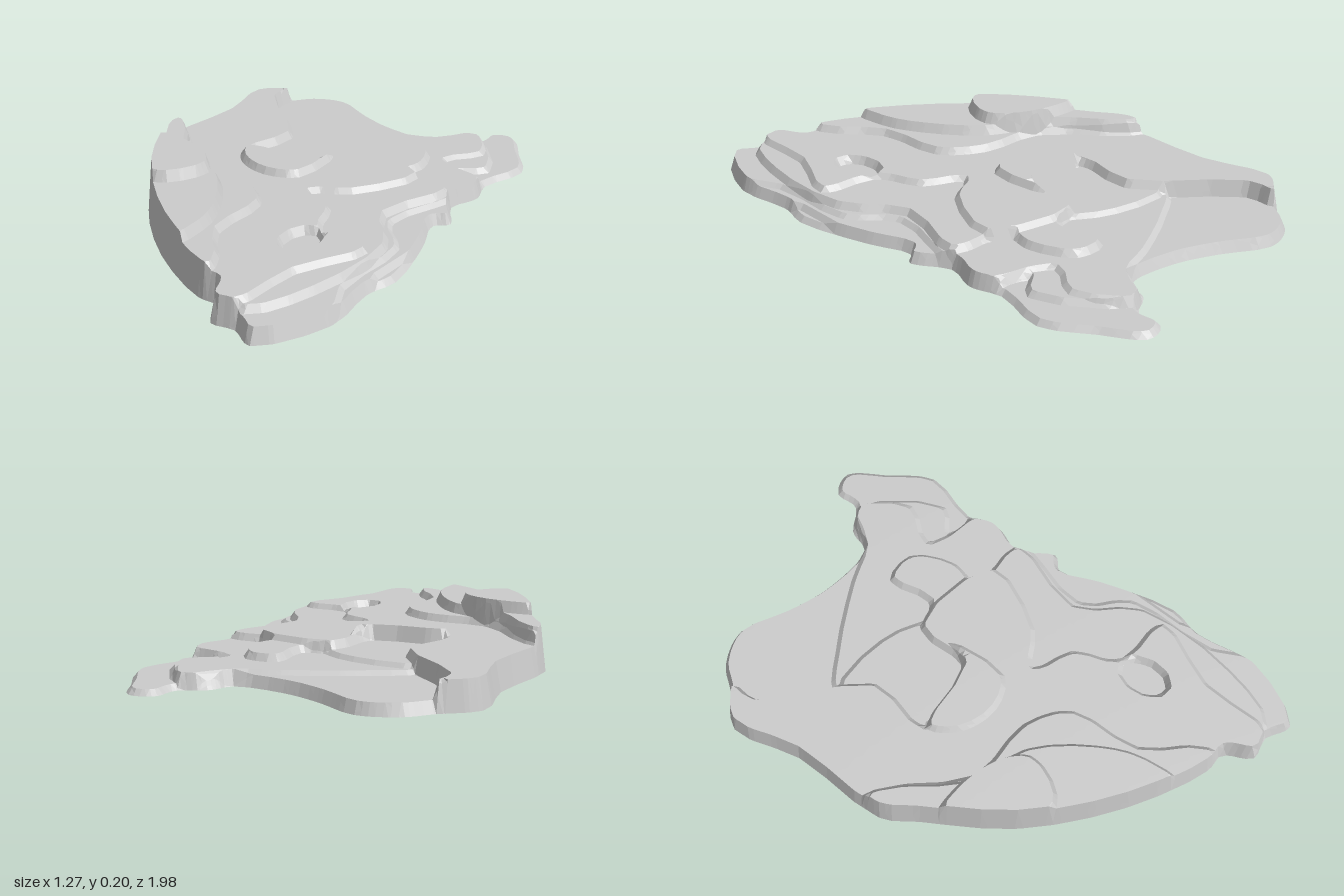
import * as THREE from 'three';

const RAMP = 0.018; // run of each cliff, seen from above
const CELL = 0.022;

// Rounded closed outline in plan from a few x, z pairs
function smoothLoop(flat) {
  const pts = [];
  for (let i = 0; i < flat.length; i += 2) pts.push(new THREE.Vector2(flat[i], flat[i + 1]));
  const curve = new THREE.CatmullRomCurve3(pts.map((p) => new THREE.Vector3(p.x, 0, p.y)), true);
  return curve.getPoints(pts.length * 3).map((p) => new THREE.Vector2(p.x, p.z));
}

// Distance to a loop, positive inside
function inside(loop, x, z) {
  let best = Infinity, within = false;
  for (let i = 0; i < loop.length - 1; i++) {
    const a = loop[i], b = loop[i + 1];
    const dx = b.x - a.x, dz = b.y - a.y;
    const t = THREE.MathUtils.clamp(((x - a.x) * dx + (z - a.y) * dz) / (dx * dx + dz * dz || 1), 0, 1);
    best = Math.min(best, Math.hypot(x - a.x - t * dx, z - a.y - t * dz));
    if ((a.y > z) !== (b.y > z) && x < a.x + ((z - a.y) / dz) * dx) within = !within;
  }
  return within ? best : -best;
}

// Split a polygon where field k crosses a value
function split(poly, k, value) {
  const low = [], high = [];
  poly.forEach((p, i) => {
    const q = poly[(i + 1) % poly.length];
    const dp = p.f[k] - value, dq = q.f[k] - value;
    if (dp <= 0) low.push(p);
    if (dp >= 0) high.push(p);
    if (dp * dq < 0) {
      const mix = (a, b) => a + (b - a) * dp / (dp - dq);
      const cut = { x: mix(p.x, q.x), z: mix(p.z, q.z), f: p.f.map((v, j) => mix(v, q.f[j])) };
      cut.f[k] = value;
      low.push(cut);
      high.push(cut);
    }
  });
  return [low, high];
}

export function createModel() {
  const group = new THREE.Group();
  group.name = 'terracedRock';
  const material = new THREE.MeshStandardMaterial({ color: 0xcccccc, flatShading: true, side: THREE.DoubleSide });

  // Terraces from low to high. Upper ones may overrun the slab; they are cut at its rim.
  const terraces = [];
  const terrace = (name, y, plan) => terraces.push({ name, y, loop: smoothLoop(plan) });

  terrace('lowLedge', 0.02, [
    -0.51, -0.87, -0.44, -0.94, -0.3, -0.97, -0.13, -0.86, 0.03, -0.78, 0.23, -0.75, 0.27, -0.83, 0.37, -0.88,
    0.38, -0.97, 0.47, -0.99, 0.55, -0.85, 0.63, -0.68, 0.56, -0.48, 0.58, -0.36, 0.53, -0.24, 0.59, -0.1,
    0.54, -0.06, 0.58, 0.1, 0.62, 0.4, 0.58, 0.52, 0.58, 0.76, 0.43, 0.99, 0.34, 0.93, 0.25, 0.93,
    0.2, 0.82, 0.13, 0.81, -0.15, 0.62, -0.42, 0.32, -0.58, 0, -0.64, -0.13, -0.6, -0.5, -0.63, -0.77]);
  terrace('backShelf', 0.04, [
    -0.8, -1.2, 0.17, -1.1, 0.23, -0.78, 0.35, -0.88, 0.54, -0.57, 0.43, -0.48, 0.7, -0.44, 0.58, 0.45, 0.8, 1.1, -0.8, 1.1]);
  terrace('middleShelf', 0.055, [
    -0.35, -0.5, -0.2, -0.6, 0.08, -0.71, 0.23, -0.75, 0.35, -0.88, 0.47, -0.68, 0.37, -0.54, 0.6, -0.42,
    0.55, -0.2, 0.45, 0.08, 0.56, 0.25, 0.54, 0.6, 0.7, 1.1, -0.5, 1]);
  terrace('panelTerrace', 0.07, [-0.35, -0.5, -0.07, -0.48, 0.1, -0.34, 0.08, 0, -0.3, 0]);
  terrace('rightTerrace', 0.08, [
    0.05, -0.37, 0.15, -0.4, 0.15, -0.58, 0.28, -0.57, 0.34, -0.4, 0.31, -0.29, 0.53, -0.24, 0.42, 0.07,
    0.54, 0.3, 0.49, 0.7, 0.36, 0.92, 0, 0.7]);
  terrace('mainTerrace', 0.1, [
    -0.8, -1, -0.5, -0.87, -0.5, -0.74, -0.23, -0.4, -0.28, -0.14, -0.02, -0.13, 0.04, -0.38, 0.39, -0.27,
    0.25, 0, 0.12, 0.07, 0.25, 0.16, 0.31, 0.33, 0.52, 0.39, 0.39, 0.65, 0.31, 0.97, -0.7, 1]);
  terrace('centreBlock', 0.125, [-0.29, -0.15, -0.24, -0.03, -0.1, 0.04, 0.03, 0, 0.04, -0.26, -0.01, -0.16]);
  terrace('frontStep', 0.125, [
    -0.8, -0.25, -0.58, -0.18, -0.35, 0.1, -0.1, 0.15, 0.04, 0.28, 0.04, 0.55, 0.17, 0.77, 0.1, 1, -0.8, 0.9]);
  terrace('upperStep', 0.16, [-0.8, -0.25, -0.58, -0.17, -0.39, 0.09, -0.18, 0.21, -0.04, 0.42, 0.01, 0.6, -0.05, 0.85, -0.8, 0.9]);
  terrace('summit', 0.2, [-0.6, 0.08, -0.46, 0.07, -0.28, 0.14, -0.2, 0.25, -0.28, 0.4, -0.42, 0.43, -0.8, 0.45]);

  // Small sunken hollow in the main terrace
  const hollow = new THREE.EllipseCurve(0.29, 0.44, 0.055, 0.09).getPoints(9);
  const levels = [...new Set(terraces.map((t) => t.y))];

  // One nested field per level: positive where the rock reaches that level
  const sample = (x, z) => {
    const d = terraces.map((t) => inside(t.loop, x, z));
    const pit = -inside(hollow, x, z);
    return { x, z, f: levels.map((y) => {
      const reach = Math.max(...d.filter((_, i) => terraces[i].y >= y));
      return Math.min(d[0], reach, y > 0.07 ? pit : Infinity);
    }) };
  };
  const height = (p) => levels.reduce((sum, y, i) =>
    sum + (y - (levels[i - 1] ?? 0)) * THREE.MathUtils.clamp(p.f[i] / RAMP, 0, 1), 0);

  // Cut a triangle along the cliff edges and sort the pieces by level
  const surfaces = levels.map(() => []);
  const addTriangle = (...corners) => {
    let pieces = [corners];
    levels.forEach((_, k) => {
      for (const value of [0, RAMP]) {
        pieces = pieces.flatMap((piece) => split(piece, k, value)).filter((piece) => piece.length > 2);
      }
    });
    for (const piece of pieces) {
      const mean = levels.map((_, k) => piece.reduce((s, p) => s + p.f[k], 0) / piece.length);
      const level = mean.filter((m) => m > 1e-7).length - 1;
      if (level < 0) continue;
      for (let i = 1; i < piece.length - 1; i++) {
        for (const p of [piece[0], piece[i], piece[i + 1]]) surfaces[level].push(p.x, height(p), p.z);
      }
    }
  };

  // Sample the plan on a grid, two triangles to a cell
  const nx = Math.ceil(1.34 / CELL), nz = Math.ceil(2.06 / CELL);
  const grid = Array.from({ length: nx + 1 }, (_, i) =>
    Array.from({ length: nz + 1 }, (_, j) => sample(-0.67 + i * CELL, -1.03 + j * CELL)));
  for (let i = 0; i < nx; i++) {
    for (let j = 0; j < nz; j++) {
      addTriangle(grid[i][j], grid[i][j + 1], grid[i + 1][j + 1]);
      addTriangle(grid[i][j], grid[i + 1][j + 1], grid[i + 1][j]);
    }
  }

  // One mesh per level: its flat top and the cliffs below it
  levels.forEach((y, k) => {
    const geometry = new THREE.BufferGeometry();
    geometry.setAttribute('position', new THREE.Float32BufferAttribute(surfaces[k], 3));
    geometry.computeVertexNormals();
    const mesh = new THREE.Mesh(geometry, material);
    mesh.name = terraces.find((t) => t.y === y).name;
    group.add(mesh);
  });
  return group;
}
